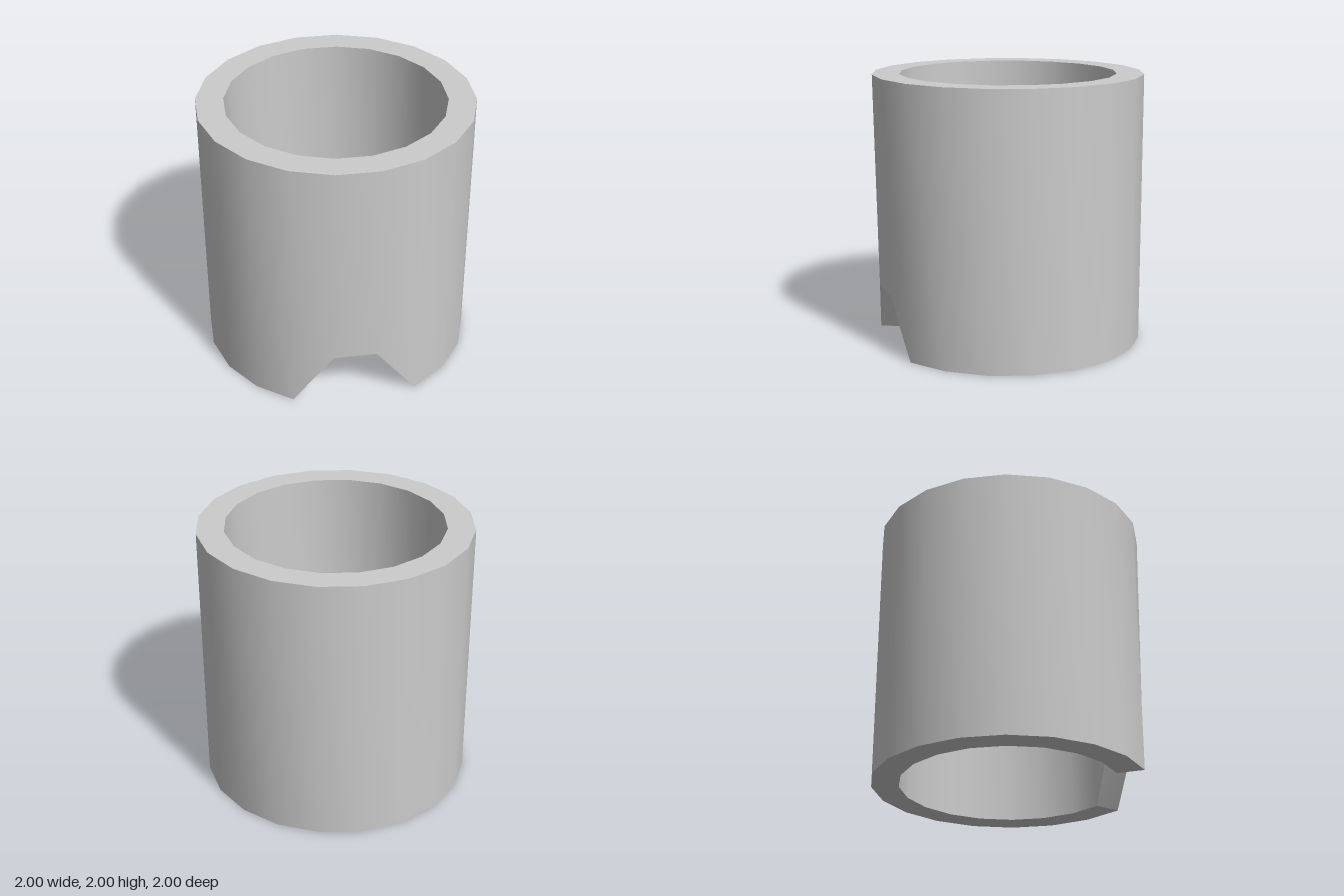
import * as THREE from 'three';
import { toCreasedNormals } from 'three/addons/utils/BufferGeometryUtils.js';

const SIDES = 20;
const INNER = 0.8; // inner radius relative to the outer radius
const HEIGHT = 2;

// Upper corners of the notch on the outer wall, keyed by side index
const NOTCH = { 1: [0.29, 0.93], 2: [0.57, 0.785] };
const NOTCH_HEIGHT = 0.42;

export function createModel() {
  const group = new THREE.Group();
  group.name = 'notchedTube';

  // Closed wall profile: underside, outer wall, top rim, inner wall
  const profile = [[INNER, 0], [1, 0], [1, HEIGHT], [INNER, HEIGHT], [INNER, 0]]
    .map(([r, y]) => new THREE.Vector2(r, y));
  const geometry = new THREE.LatheGeometry(profile, SIDES);

  // Lift two neighbouring bottom corners to cut the sloped notch
  const position = geometry.attributes.position;
  for (const [side, [x, z]] of Object.entries(NOTCH)) {
    profile.forEach((p, j) => {
      if (p.y > 0) return;
      position.setXYZ(Number(side) * profile.length + j, x * p.x, NOTCH_HEIGHT, z * p.x);
    });
  }

  // Smooth round walls, sharp rims and notch edges
  const tube = new THREE.Mesh(
    toCreasedNormals(geometry, THREE.MathUtils.degToRad(35)),
    new THREE.MeshStandardMaterial({ color: 0xcccccc })
  );
  tube.name = 'tubeWall';
  group.add(tube);
  return group;
}
